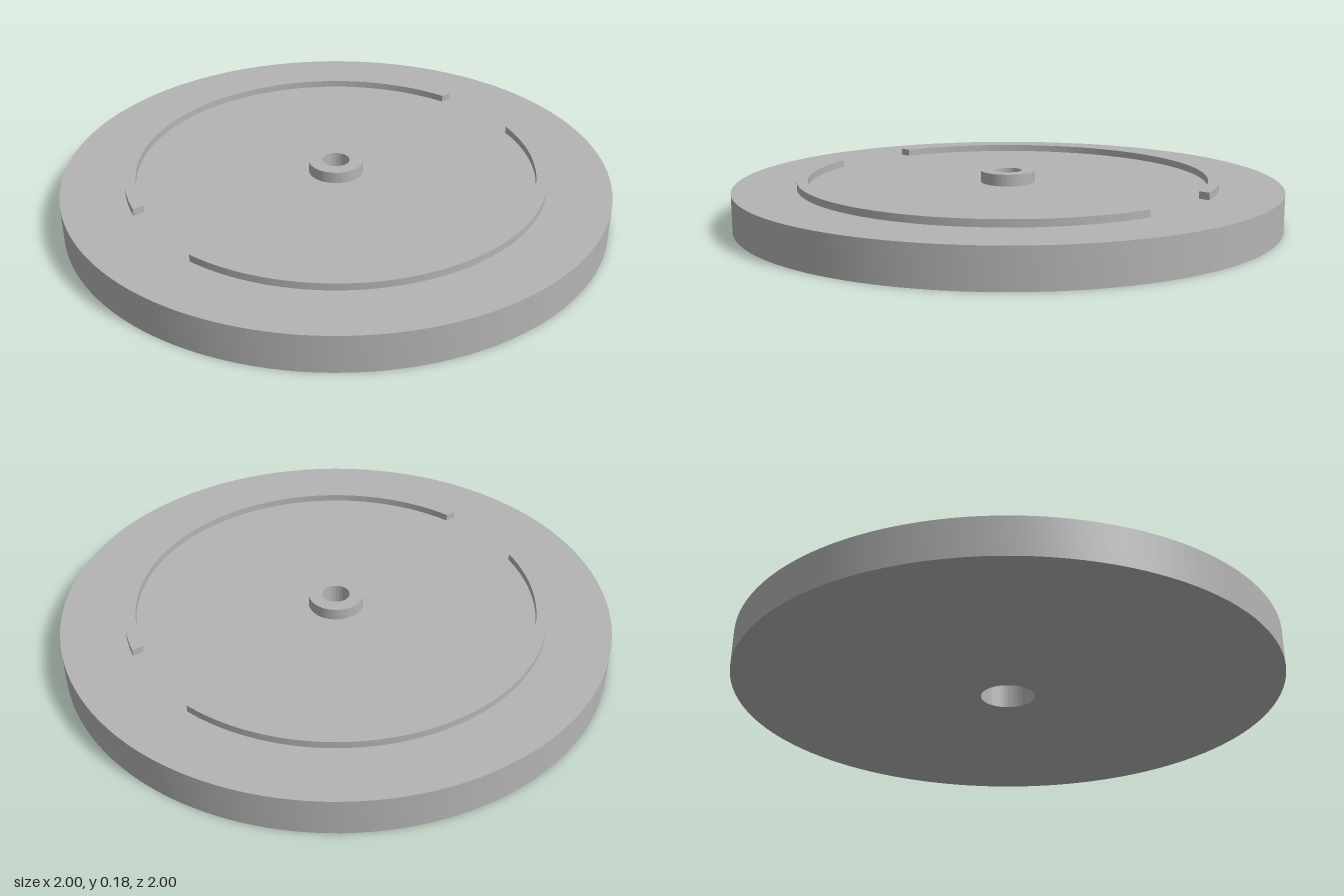
import * as THREE from 'three';
import { toCreasedNormals } from 'three/addons/utils/BufferGeometryUtils.js';

const PLATE_TOP = 0.137, RIB_TOP = 0.163, HUB_TOP = 0.18, HUB_BASE = 0.09;
const HUB_R = 0.1, BORE_R = 0.05;
const RIB_IN = 0.73, RIB_OUT = 0.77, RIB_END = 0.18;

// Turned part from a profile of [radius, height] pairs, with sharp corners
function turned(profile) {
  const points = profile.map(([r, y]) => new THREE.Vector2(r, y));
  return toCreasedNormals(new THREE.LatheGeometry(points, 128), 0.6);
}

// Curved rib whose ends are cut along a straight line
function ribGeometry() {
  const outer = Math.asin(RIB_END / RIB_OUT);
  const inner = Math.asin(RIB_END / RIB_IN);
  const shape = new THREE.Shape();
  shape.absarc(0, 0, RIB_OUT, outer, Math.PI - outer, false);
  shape.absarc(0, 0, RIB_IN, Math.PI - inner, inner, true);
  const geometry = new THREE.ExtrudeGeometry(shape, {
    depth: RIB_TOP - PLATE_TOP, bevelEnabled: false, curveSegments: 64,
  });
  geometry.rotateX(-Math.PI / 2);
  return toCreasedNormals(geometry, 0.6);
}

export function createModel() {
  const model = new THREE.Group();
  model.name = 'ribbedDisc';
  const grey = new THREE.MeshStandardMaterial({ color: 0xb4b4b4 });
  grey.name = 'grey';

  const add = (name, geometry) => {
    const mesh = new THREE.Mesh(geometry, grey);
    mesh.name = name;
    model.add(mesh);
    return mesh;
  };

  // Disc with a wide recess underneath
  add('disc', turned([
    [HUB_R, HUB_BASE], [HUB_R, 0], [1, 0], [1, PLATE_TOP], [HUB_R, PLATE_TOP],
  ]));

  // Hub ring with a narrower bore, closing the top of the recess
  add('hub', turned([
    [HUB_R, PLATE_TOP], [HUB_R, HUB_TOP], [BORE_R, HUB_TOP], [BORE_R, HUB_BASE], [HUB_R, HUB_BASE],
  ]));

  // Two opposite ribs
  const rib = ribGeometry();
  ['backRib', 'frontRib'].forEach((name, i) => {
    const mesh = add(name, rib);
    mesh.position.y = PLATE_TOP;
    mesh.rotation.y = i * Math.PI;
  });

  return model;
}
